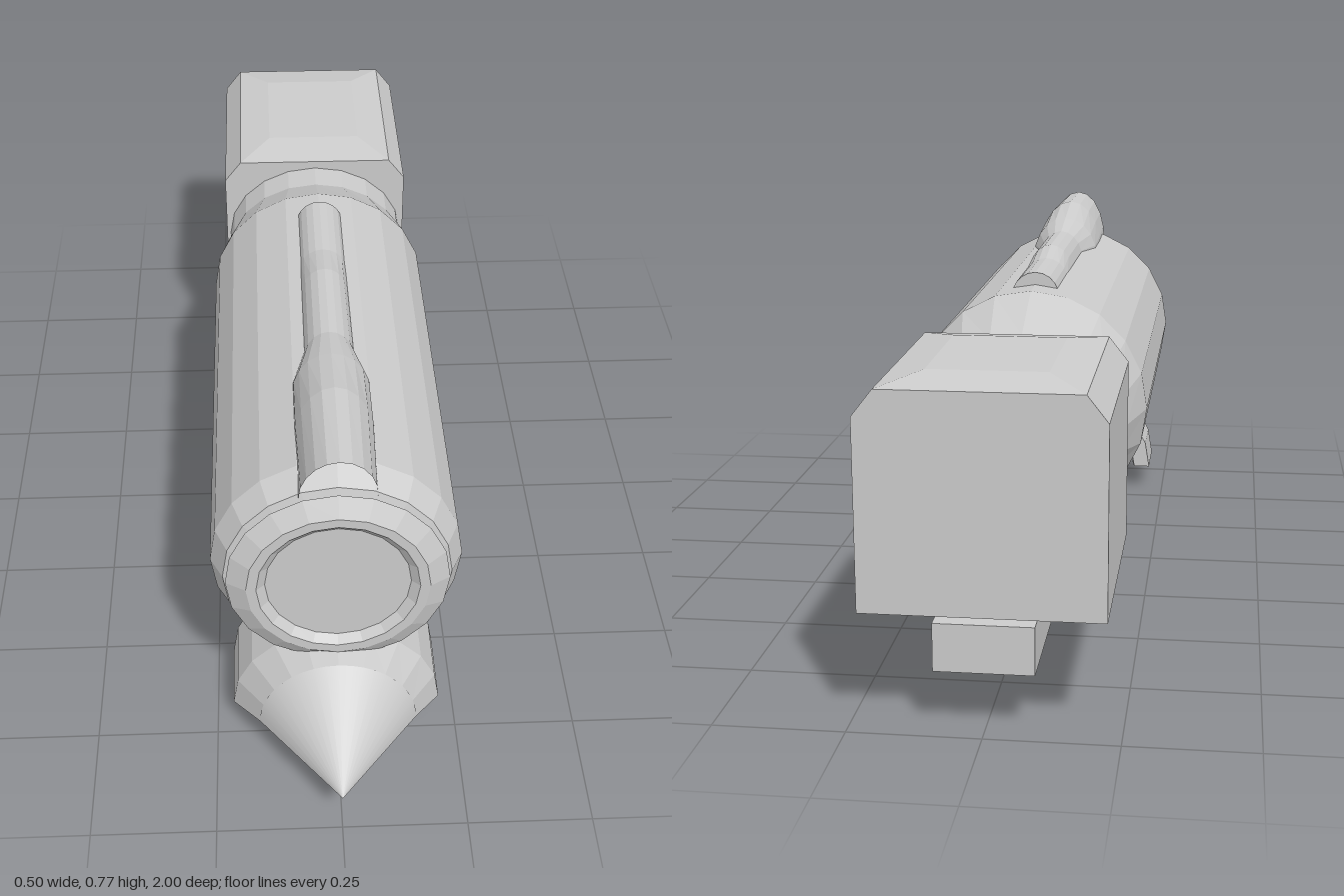
import * as THREE from 'three';
import { mergeVertices } from 'three/addons/utils/BufferGeometryUtils.js';

const flat = new THREE.MeshStandardMaterial({ color: 0xcccccc, flatShading: true, side: THREE.DoubleSide });
const smooth = new THREE.MeshStandardMaterial({ color: 0xcccccc, side: THREE.DoubleSide });

function add(parent, name, geometry, material = flat) {
  const mesh = new THREE.Mesh(geometry, material);
  mesh.name = name;
  parent.add(mesh);
  return mesh;
}

function box(parent, name, w, y0, y1, z0, z1) {
  const mesh = add(parent, name, new THREE.BoxGeometry(w, y1 - y0, z1 - z0));
  mesh.position.set(0, (y0 + y1) / 2, (z0 + z1) / 2);
  return mesh;
}

const lathe = (profile, sides) =>
  new THREE.LatheGeometry(profile.map(([r, h]) => new THREE.Vector2(r, h)), sides);

// Half-ellipse from the right foot over the top to the left foot;
// slant pushes the feet along z relative to the crown
function arch(w, base, top, z, n = 10, slant = 0) {
  return Array.from({ length: n + 1 }, (_, i) => {
    const a = -Math.PI / 2 + (Math.PI * i) / n;
    const up = Math.cos(a);
    return [w * Math.sin(a), base + (top - base) * up, z + slant * (1 - up)];
  });
}

// Skin over consecutive rows of points
function loft(rows) {
  const n = rows[0].length;
  const index = [];
  for (let i = 0; i < rows.length - 1; i++) {
    for (let j = 0; j < n - 1; j++) {
      const a = i * n + j, c = a + n;
      index.push(a, a + 1, c, a + 1, c + 1, c);
    }
  }
  const g = new THREE.BufferGeometry();
  g.setAttribute('position', new THREE.Float32BufferAttribute(rows.flat(2), 3));
  g.setIndex(index);
  g.computeVertexNormals();
  return g;
}

function createBoiler(parent) {
  const g = lathe([
    [0, -0.52], [0.215, -0.52], [0.215, -0.43], [0.25, -0.28], [0.25, 0.68], [0.225, 0.73],
    [0.208, 0.735], [0.22, 0.747], [0.18, 0.77], [0.16, 0.77], [0.143, 0.755], [0, 0.755],
  ], 20).rotateX(Math.PI / 2);
  // Lower the neck behind the taper and flatten the underside
  const p = g.attributes.position;
  for (let i = 0; i < p.count; i++) {
    const squash = p.getZ(i) < -0.4 ? 0.86 : 1;
    p.setY(i, Math.max(0.23, 0.437 + p.getY(i) * squash));
  }
  add(parent, 'boiler', g);
}

function createCab(parent) {
  const half = [[0.224, 0.23], [0.224, 0.59], [0.185, 0.64]];
  const outline = [...half, ...half.map(([x, y]) => [-x, y]).reverse()];
  const shape = new THREE.Shape(outline.map(([x, y]) => new THREE.Vector2(x, y)));
  const body = new THREE.ExtrudeGeometry(shape, { depth: 0.49, bevelEnabled: false });
  add(parent, 'cab', body.translate(0, 0, -1));

  // Shallow hipped roof
  const roof = box(parent, 'cabRoof', 0.37, 0.64, 0.656, -1, -0.51);
  const p = roof.geometry.attributes.position;
  for (let i = 0; i < p.count; i++) {
    if (p.getY(i) > 0) {
      p.setX(i, p.getX(i) * 0.6);
      p.setZ(i, p.getZ(i) * 0.61);
    }
  }
}

function createSmokeFairing(parent) {
  // Open hood at the front, narrowing to a closed rib at the back
  const rows = [
    arch(0.075, 0.645, 0.775, 0.79, 10, -0.05),
    arch(0.08, 0.645, 0.775, 0.57),
    arch(0.08, 0.65, 0.75, 0.43),
    arch(0.053, 0.66, 0.73, 0.33),
    arch(0.052, 0.66, 0.73, 0.1),
    arch(0.052, 0.66, 0.714, 0),
    arch(0.052, 0.66, 0.714, -0.2),
    arch(0, 0.66, 0.66, -0.2),
  ];
  add(parent, 'smokeFairing', loft(rows));
}

function createPlow(parent) {
  const plow = new THREE.Group();
  plow.name = 'plow';
  parent.add(plow);

  // Rounded nose
  const tip = [0, 0.09, 1];
  const nose = loft([arch(0, 0.09, 0.09, 1, 20), arch(0.16, 0.09, 0.25, 0.8, 20)]);
  add(plow, 'plowNose', mergeVertices(nose), smooth);

  // Faceted skirt, folded over at the back into a hollow inside
  const inner = [0, 0.06, 0.8];
  add(plow, 'plowSkirt', loft([
    arch(0.16, 0.09, 0.25, 0.8),
    arch(0.215, 0.06, 0.268, 0.72),
    arch(0.215, 0.06, 0.268, 0.57),
    arch(0.175, 0.06, 0.235, 0.57),
    arch(0.15, 0.06, 0.2, 0.72),
    arch(0, 0.06, 0.06, 0.8),
  ]));

  // Bottom lip on both sides of the centre line
  const keel = [0, 0.06, 0.88];
  for (const s of [-1, 1]) {
    const rows = [
      [tip, keel, keel],
      [[s * 0.16, 0.09, 0.8], keel, inner],
      [[s * 0.215, 0.06, 0.72], [s * 0.19, 0.06, 0.72], [s * 0.15, 0.06, 0.72]],
      [[s * 0.215, 0.06, 0.57], [s * 0.195, 0.06, 0.57], [s * 0.175, 0.06, 0.57]],
    ];
    add(plow, s > 0 ? 'plowLipLeft' : 'plowLipRight', loft(s > 0 ? rows.reverse() : rows));
  }
}

function createWheels(parent) {
  // Flange, tread, dished face and hub
  const wheel = lathe([
    [0, 0.106], [0.102, 0.106], [0.102, 0.11], [0.096, 0.12], [0.086, 0.12], [0.082, 0.132],
    [0.068, 0.132], [0.062, 0.124], [0.015, 0.124], [0.013, 0.13], [0, 0.13],
  ], 24).rotateZ(-Math.PI / 2);
  const axle = new THREE.CylinderGeometry(0.012, 0.012, 0.22, 10).rotateZ(Math.PI / 2);
  for (const z of [0.405, 0.2, -0.015, -0.235]) {
    const set = new THREE.Group();
    set.name = 'wheelSet';
    set.position.set(0, 0.102, z);
    add(set, 'axle', axle);
    add(set, 'wheelLeft', wheel);
    add(set, 'wheelRight', wheel).rotation.y = Math.PI;
    parent.add(set);
  }
}

export function createModel() {
  const model = new THREE.Group();
  model.name = 'steamLocomotive';
  createBoiler(model);
  createCab(model);
  createSmokeFairing(model);
  createPlow(model);
  box(model, 'chassis', 0.186, 0.115, 0.207, -0.975, 0.57);
  box(model, 'runningPlate', 0.28, 0.207, 0.235, -0.92, 0.57);
  createWheels(model);
  return model;
}
